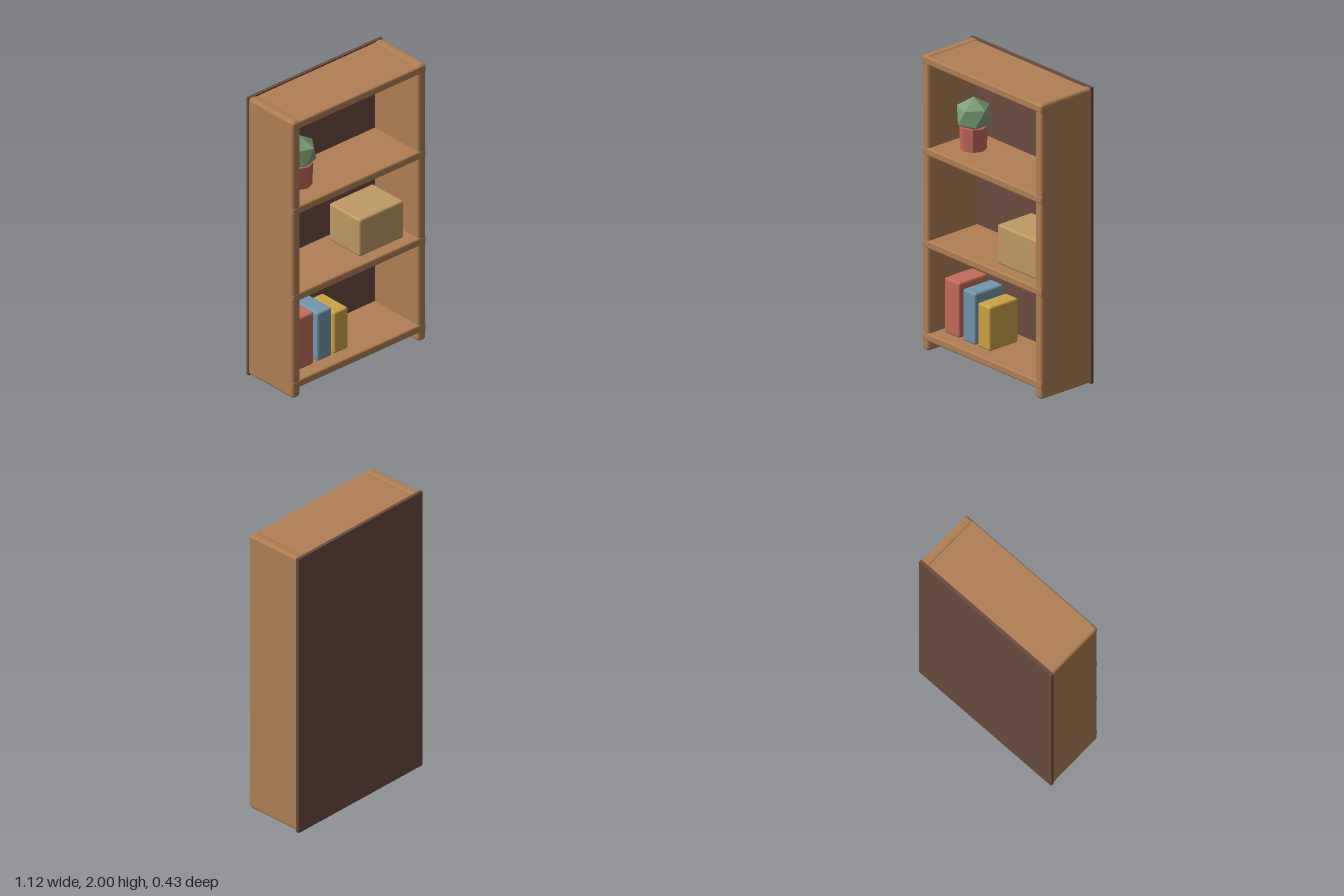
import * as THREE from 'three';
import { RoundedBoxGeometry } from 'three/addons/geometries/RoundedBoxGeometry.js';
import { ConvexGeometry } from 'three/addons/geometries/ConvexGeometry.js';

const mat = (color, flatShading = false) => new THREE.MeshStandardMaterial({ color, flatShading });

export function createModel() {
  const model = new THREE.Group();
  const wood = mat(0xb08055);

  const add = (name, geometry, material) => {
    const mesh = new THREE.Mesh(geometry, material);
    mesh.name = name;
    model.add(mesh);
    return mesh;
  };
  // Rounded block given by its low and high corners
  const block = (name, [x0, y0, z0], [x1, y1, z1], radius, material) =>
    add(name, new RoundedBoxGeometry(x1 - x0, y1 - y0, z1 - z0, 2, radius), material)
      .position.set((x0 + x1) / 2, (y0 + y1) / 2, (z0 + z1) / 2);

  // Case: back, two sides and four boards
  add('backPanel', new THREE.BoxGeometry(1.12, 2, 0.022), mat(0x6b4c3f)).position.set(0, 1, -0.206);
  block('leftSide', [0.494, 0.005, -0.212], [0.558, 1.997, 0.215], 0.02, wood);
  block('rightSide', [-0.558, 0.005, -0.212], [-0.494, 1.997, 0.215], 0.02, wood);
  [['bottomShelf', 0.098], ['lowerShelf', 0.725], ['upperShelf', 1.35], ['topBoard', 1.963]].forEach(([name, y]) =>
    block(name, [-0.556, y - 0.027, -0.212], [0.556, y + 0.027, 0.217], 0.012, wood));

  // Books on the bottom shelf
  [
    ['redBook', -0.446, -0.304, 0.5, 0xc46c5a],
    ['blueBook', -0.274, -0.155, 0.475, 0x7496ad],
    ['yellowBook', -0.135, -0.018, 0.425, 0xcca348],
  ].forEach(([name, x0, x1, top, color]) =>
    block(name, [x0, 0.127, -0.11], [x1, top, 0.13], 0.015, mat(color)));

  // Storage box on the middle shelf
  block('storageBox', [0.065, 0.755, -0.145], [0.433, 1.022, 0.145], 0.015, mat(0xc09a66));

  // Potted plant: octagonal pot and a faceted ball of leaves
  add('plantPot', new THREE.CylinderGeometry(0.087, 0.085, 0.157, 8), mat(0xbf6858, true))
    .position.set(-0.315, 1.4515, 0);
  const r = 0.12;
  const points = [new THREE.Vector3(0, r, 0), new THREE.Vector3(0, -r, 0)];
  for (let i = 0; i < 5; i++) {
    const a = (i * Math.PI * 2) / 5;
    const p = new THREE.Vector3(Math.cos(a) * 0.894, 0.447, Math.sin(a) * 0.894).multiplyScalar(r);
    points.push(p, p.clone().negate());
  }
  add('plantLeaves', new ConvexGeometry(points), mat(0x7fa076, true)).position.set(-0.313, 1.605, 0);

  return model;
}
